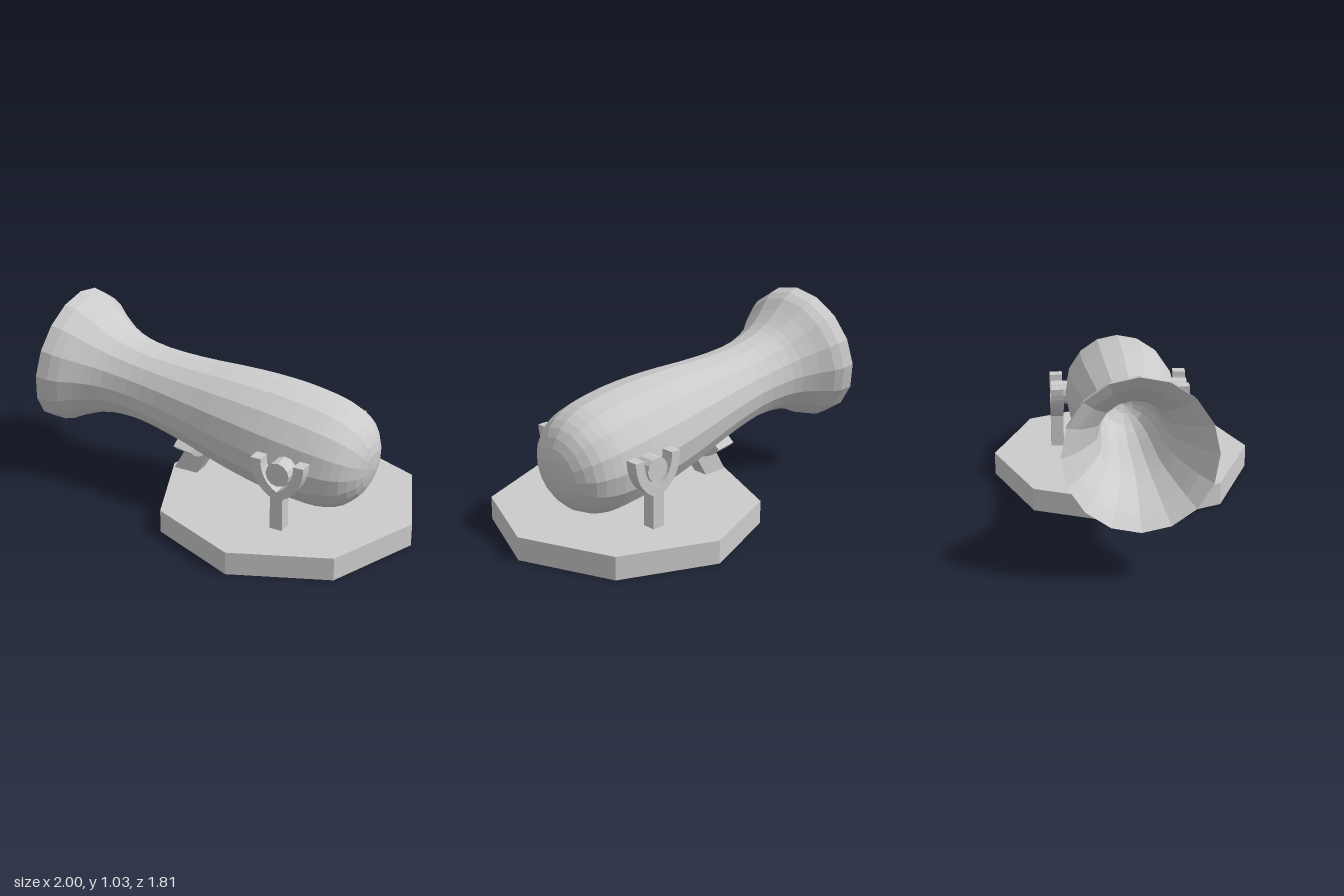
import * as THREE from 'three';

const grey = new THREE.MeshStandardMaterial({ color: 0xcccccc, flatShading: true });
const greyOpen = new THREE.MeshStandardMaterial({ color: 0xcccccc, flatShading: true, side: THREE.DoubleSide });

function add(parent, name, geometry, material = grey) {
  const mesh = new THREE.Mesh(geometry, material);
  mesh.name = name;
  parent.add(mesh);
  return mesh;
}

function extrude(shape, depth) {
  const g = new THREE.ExtrudeGeometry(shape, { depth, bevelEnabled: false, curveSegments: 8 });
  return g.translate(0, 0, -depth / 2);
}

// Smooth profile through [radius, distance along axis] points
function smooth(points, n) {
  return new THREE.SplineCurve(points.map(p => new THREE.Vector2(...p))).getPoints(n)
    .map(p => new THREE.Vector2(Math.max(p.x, 0), p.y));
}

// Y-shaped fork with a round cup, standing on the base
function forkShape() {
  const s = new THREE.Shape();
  s.moveTo(-0.035, 0.12);
  s.lineTo(0.035, 0.12);
  s.lineTo(0.035, 0.305);
  s.quadraticCurveTo(0.145, 0.365, 0.148, 0.505);
  s.lineTo(0.092, 0.505);
  s.quadraticCurveTo(0.092, 0.39, 0, 0.34);
  s.quadraticCurveTo(-0.092, 0.39, -0.092, 0.505);
  s.lineTo(-0.148, 0.505);
  s.quadraticCurveTo(-0.145, 0.365, -0.035, 0.305);
  s.closePath();
  return s;
}

export function createModel() {
  const model = new THREE.Group();
  model.name = 'cannonOnStand';

  // Octagonal base
  const base = add(model, 'base', new THREE.CylinderGeometry(0.707, 0.707, 0.125, 8, 1, false, 0.1415));
  base.position.set(0.3, 0.0625, 0.2);

  // Everything above turns with the aim: local -x is the muzzle direction
  const cannon = new THREE.Group();
  cannon.name = 'cannon';
  cannon.position.set(0.45, 0, 0.31);
  cannon.rotation.y = -0.6435;
  model.add(cannon);

  // Tilted barrel: rounded breech, narrow waist, flared muzzle, hollow bore
  const aim = new THREE.Group();
  aim.name = 'barrelAssembly';
  aim.position.y = 0.427;
  aim.rotation.z = 1.419;
  cannon.add(aim);
  const outer = smooth([[0, -0.3], [0.13, -0.278], [0.235, -0.2], [0.287, -0.08], [0.302, 0.07],
    [0.3, 0.25], [0.278, 0.48], [0.234, 0.78], [0.215, 1.03], [0.237, 1.22], [0.29, 1.34], [0.35, 1.43]], 28);
  const rim = [[0.37, 1.48], [0.376, 1.545], [0.335, 1.5], [0.312, 1.475]].map(p => new THREE.Vector2(...p));
  const bore = smooth([[0.285, 1.43], [0.24, 1.33], [0.19, 1.2], [0.165, 1.0], [0.15, 0.7], [0.1, 0.5], [0, 0.45]], 12);
  add(aim, 'barrel', new THREE.LatheGeometry([...outer, ...rim, ...bore], 16), greyOpen);

  // Side forks with trunnion pins
  for (const side of [1, -1]) {
    const fork = add(cannon, side > 0 ? 'frontFork' : 'backFork', extrude(forkShape(), 0.07));
    fork.position.set(-0.07, 0, side * 0.35);
    const pin = add(cannon, side > 0 ? 'frontPin' : 'backPin',
      new THREE.CylinderGeometry(0.065, 0.065, 0.16, 12).rotateX(Math.PI / 2));
    pin.position.set(-0.07, 0.435, side * 0.3);
  }

  // Curved cradle under the waist
  const arc = new THREE.Shape();
  const mid = -Math.PI / 2, spread = 0.8;
  arc.absarc(0, 0, 0.283, mid - spread, mid + spread, false);
  arc.absarc(0, 0, 0.238, mid + spread, mid - spread, true);
  const cradle = add(aim, 'cradle', extrude(arc, 0.11).rotateX(-Math.PI / 2).rotateY(-Math.PI / 2));
  cradle.position.y = 0.7;

  // Leaning prop from the base to the cradle
  const lean = new THREE.Shape([[-0.87, 0.12], [-0.73, 0.12], [-0.63, 0.29], [-0.77, 0.3]]
    .map(p => new THREE.Vector2(...p)));
  add(cannon, 'prop', extrude(lean, 0.09));

  return model;
}
